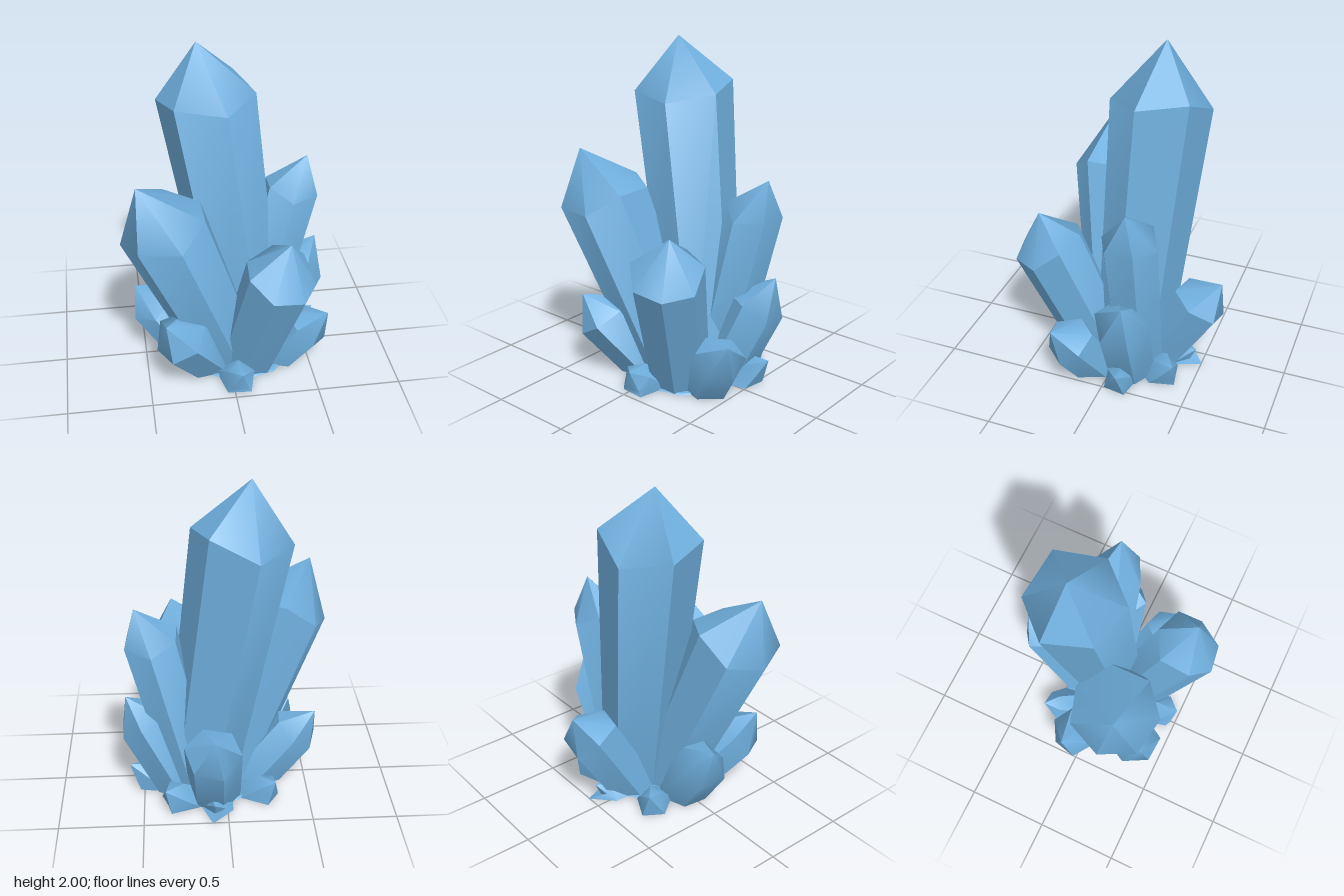
import * as THREE from 'three';
import { toCreasedNormals } from 'three/addons/utils/BufferGeometryUtils.js';

// One crystal: a faceted shaft from the ground to a shoulder ring, closed by an off-centre point
function crystalGeometry(tip, mid, root, r, phase, sides) {
  const T = new THREE.Vector3(...tip);
  const M = new THREE.Vector3(...mid);
  const B = new THREE.Vector3(root[0], 0, root[1]);
  const axis = M.clone().sub(B).normalize();
  const u = new THREE.Vector3(1, 0, 0).addScaledVector(axis, -axis.x).normalize();
  const v = axis.clone().cross(u);
  const footRadius = 0.075 + 0.5 * r;
  const shoulder = [], foot = [];
  for (let i = 0; i < sides; i++) {
    const a = THREE.MathUtils.degToRad(phase) + (i / sides) * Math.PI * 2;
    const dir = u.clone().multiplyScalar(Math.cos(a)).addScaledVector(v, Math.sin(a));
    // slight irregularity along the shaft direction
    const slip = 0.16 * r * Math.sin(i * 2.3 + phase);
    shoulder.push(M.clone().addScaledVector(dir, r).addScaledVector(axis, slip));
    // slide the foot along the shaft until it meets the ground
    const f = B.clone().addScaledVector(dir, footRadius);
    foot.push(f.addScaledVector(axis, -f.y / axis.y));
  }
  const pos = [];
  const tri = (...pts) => pts.forEach((p) => pos.push(p.x, p.y, p.z));
  for (let i = 0; i < sides; i++) {
    const j = (i + 1) % sides;
    tri(foot[i], foot[j], shoulder[j]);
    tri(foot[i], shoulder[j], shoulder[i]);
    tri(shoulder[i], shoulder[j], T);
    tri(B, foot[j], foot[i]);
  }
  const g = new THREE.BufferGeometry();
  g.setAttribute('position', new THREE.Float32BufferAttribute(pos, 3));
  return toCreasedNormals(g, 0.7);
}

export function createModel() {
  const group = new THREE.Group();
  group.name = 'crystalCluster';
  const blue = new THREE.MeshStandardMaterial({ color: 0x70b0df });
  blue.name = 'crystal blue';

  const add = (name, geometry) => {
    const mesh = new THREE.Mesh(geometry, blue);
    mesh.name = name;
    group.add(mesh);
    return mesh;
  };
  const crystal = (name, tip, mid, root, r, phase, sides = 6) =>
    add(name, crystalGeometry(tip, mid, root, r, phase, sides));

  // tall crystals: point, shoulder centre, root on the ground (x, z), radius, turn
  crystal('mainCrystal', [-0.14, 2, -0.16], [-0.09, 1.68, -0.155], [0.16, -0.07], 0.29, -13);
  crystal('tallRightCrystal', [-0.53, 1.35, 0.28], [-0.385, 1.07, 0.225], [0.02, 0.06], 0.265, -22, 7);
  crystal('tallLeftCrystal', [0.52, 1.25, -0.16], [0.425, 1.04, -0.15], [0.18, -0.12], 0.17, 27);
  crystal('frontCrystal', [0.31, 1.02, 0.45], [0.265, 0.8, 0.42], [0.12, 0.14], 0.215, -8, 7);

  // short crystals leaning outwards
  crystal('leftCrystal', [0.59, 0.68, -0.16], [0.49, 0.51, -0.13], [0.26, -0.1], 0.168, 30);
  crystal('lowLeftCrystal', [0.59, 0.4, 0.28], [0.48, 0.28, 0.21], [0.3, 0.11], 0.15, -20);
  crystal('backCrystal', [0.08, 0.62, -0.6], [0.09, 0.48, -0.48], [0.07, -0.2], 0.17, -12);
  crystal('lowFrontCrystal', [-0.4, 0.5, 0.42], [-0.315, 0.36, 0.34], [-0.1, 0.12], 0.165, 10);
  crystal('rightCrystal', [-0.55, 0.48, -0.06], [-0.43, 0.34, -0.04], [-0.19, 0], 0.15, 20);

  // small shards around the foot, each set out from its point
  const shard = (name, x, y, z, r, phase) =>
    crystal(name, [x, y, z], [x * 0.86, y * 0.65, z * 0.86], [x * 0.63, z * 0.63], r, phase, 5);
  shard('frontShard', 0.04, 0.15, 0.49, 0.09, 15);
  shard('leftShard', 0.585, 0.17, -0.12, 0.075, 40);
  shard('backLeftShard', 0.37, 0.16, -0.4, 0.085, 0);
  shard('backRightShard', -0.29, 0.15, -0.33, 0.075, 25);
  shard('backShard', 0.08, 0.09, -0.46, 0.06, 10);

  // thin plate joining the feet
  const plate = add('basePlate', toCreasedNormals(new THREE.CylinderGeometry(0.33, 0.34, 0.01, 11), 0.5));
  plate.position.set(0.08, 0.005, 0.01);
  return group;
}
